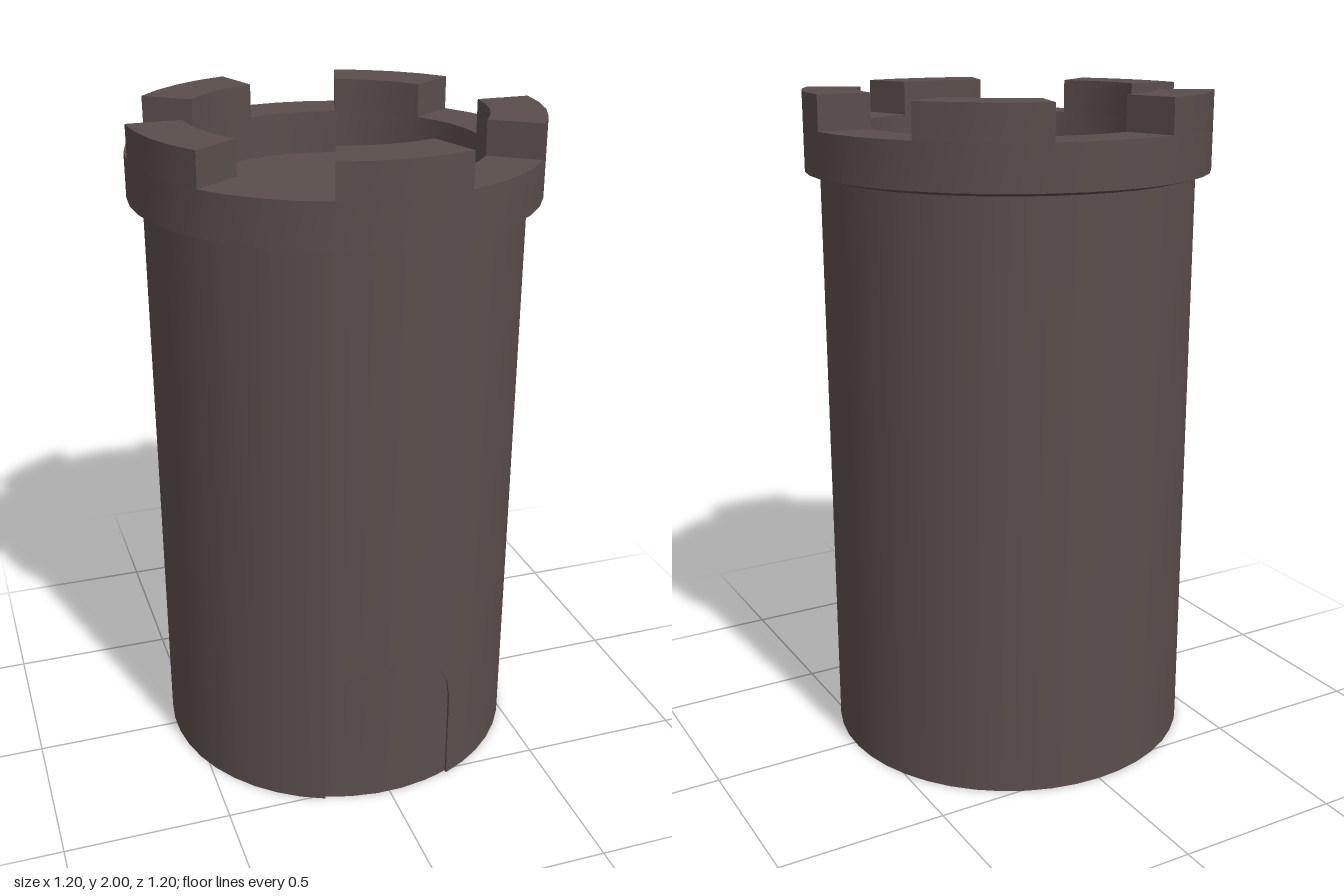
import * as THREE from 'three';
import { toCreasedNormals } from 'three/addons/utils/BufferGeometryUtils.js';

const R_OUT = 0.555, R_IN = 0.44, R_CROWN = 0.6, SIDES = 40;
const DECK = 1.77, RIM = 1.9, TOP = 2;

// Arched doorway: right half outline, mirrored to the left
const halfArch = [[0.04, 0.47], [0.12, 0.445], [0.165, 0.405], [0.19, 0.355], [0.2, 0.29]];
const arch = [...halfArch.map(([x, y]) => [-x, y]).reverse(), ...halfArch];

// Point at radius r, height y and angle a (0 = front, growing towards +x)
const polar = (r, y, a) => [r * Math.sin(a), y, r * Math.cos(a)];
// Point on a cylinder of radius r at a given x, on the front side
const atX = (r, y, x) => polar(r, y, Math.asin(x / r));

// Joins a row of closed cross-sections (outer bottom, outer top, inner top, inner bottom)
function sweep(sections, capped) {
  const pos = [];
  const tri = (a, b, c) => pos.push(...a, ...b, ...c);
  const quad = (a, b, c, d) => { tri(a, b, c); tri(a, c, d); };
  for (let i = 0; i < sections.length - 1; i++) {
    const s = sections[i], t = sections[i + 1];
    for (let k = 0; k < s.length; k++) {
      const n = (k + 1) % s.length;
      quad(s[k], t[k], t[n], s[n]);
    }
  }
  if (capped) {
    quad(...sections[0]);
    quad(...[...sections[sections.length - 1]].reverse());
  }
  const geo = new THREE.BufferGeometry();
  geo.setAttribute('position', new THREE.Float32BufferAttribute(pos, 3));
  return toCreasedNormals(geo, 0.5);
}

// Sweeps an [r, y] profile around the axis between two angles
function arcSweep(profile, from, to, steps, capped) {
  const sections = [];
  for (let i = 0; i <= steps; i++) {
    const a = from + (to - from) * i / steps;
    sections.push(profile.map(([r, y]) => polar(r, y, a)));
  }
  return sweep(sections, capped);
}

// Hollow wall whose lower edge rises over the doorway
function wallGeometry() {
  const yTop = 1.76;
  const sections = arch.map(([x, y]) =>
    [atX(R_OUT, y, x), atX(R_OUT, yTop, x), atX(R_IN, yTop, x), atX(R_IN, y, x)]);
  const ao = Math.asin(0.2 / R_OUT), ai = Math.asin(0.2 / R_IN);
  for (let i = 0; i <= SIDES; i++) {
    const t = i / SIDES;
    const o = ao + (2 * Math.PI - 2 * ao) * t;
    const n = ai + (2 * Math.PI - 2 * ai) * t;
    sections.push([polar(R_OUT, 0, o), polar(R_OUT, yTop, o), polar(R_IN, yTop, n), polar(R_IN, 0, n)]);
  }
  sections.push(sections[0]);
  return sweep(sections, false);
}

// Thin curved door set just behind the wall surface
function doorGeometry() {
  const ro = 0.545, ri = 0.533;
  return sweep(arch.map(([x, y]) =>
    [atX(ro, 0, x), atX(ro, y, x), atX(ri, y, x), atX(ri, 0, x)]), true);
}

export function createModel() {
  const stone = new THREE.MeshStandardMaterial({ color: 0x5a4e4c });
  stone.name = 'stone';

  const tower = new THREE.Group();
  tower.name = 'tower';
  const add = (name, geometry) => {
    const mesh = new THREE.Mesh(geometry, stone);
    mesh.name = name;
    tower.add(mesh);
    return mesh;
  };

  add('wall', wallGeometry());
  add('door', doorGeometry());

  // Overhanging crown with a sloped underside
  const crown = [[R_OUT - 0.01, 1.755], [R_CROWN, DECK], [R_CROWN, RIM], [R_IN, RIM], [R_IN, DECK - 0.02]];
  add('crown', arcSweep(crown, 0, Math.PI * 2, SIDES, false));

  // Roof deck sunk inside the crown
  const deck = add('deck', new THREE.CylinderGeometry(R_IN + 0.005, R_IN + 0.005, 0.05, SIDES));
  deck.position.y = DECK - 0.025;

  // Five merlons, each as wide as the gaps between them
  const block = [[R_CROWN, RIM], [R_CROWN, TOP], [R_IN, TOP], [R_IN, RIM]];
  const merlon = arcSweep(block, -Math.PI / 10, Math.PI / 10, 4, true);
  for (let i = 0; i < 5; i++) {
    add('merlon' + (i + 1), merlon).rotation.y = i * Math.PI * 2 / 5;
  }
  return tower;
}
